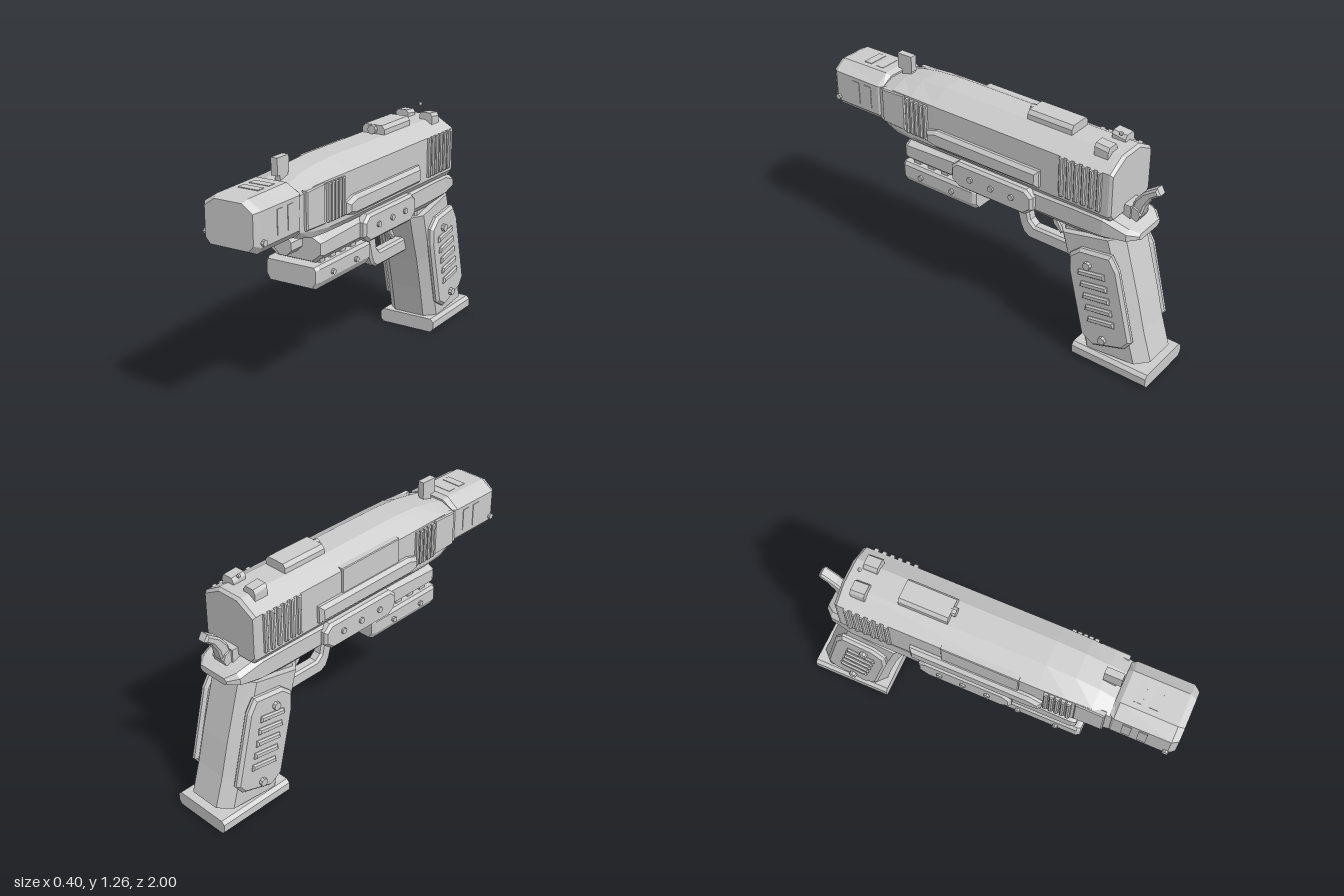
import * as THREE from 'three';

const material = new THREE.MeshStandardMaterial({ color: 0xcccccc, flatShading: true });

export function createModel() {
  const model = new THREE.Group();

  const add = (name, geometry, x = 0, y = 0, z = 0) => {
    const mesh = new THREE.Mesh(geometry, material);
    mesh.name = name;
    mesh.position.set(x, y, z);
    model.add(mesh);
    return mesh;
  };

  // Skin a list of equal-length rings of [x, y, z] points and cap both ends
  const loft = (name, rings) => {
    const n = rings[0].length, index = [], last = (rings.length - 1) * n;
    for (let r = 0; r < rings.length - 1; r++) {
      for (let i = 0; i < n; i++) {
        const a = r * n + i, b = r * n + (i + 1) % n;
        index.push(a, b, b + n, a, b + n, a + n);
      }
    }
    for (let i = 1; i < n - 1; i++) index.push(0, i + 1, i, last, last + i, last + i + 1);
    const g = new THREE.BufferGeometry();
    g.setAttribute('position', new THREE.Float32BufferAttribute(rings.flat(2), 3));
    g.setIndex(index);
    const flat = g.toNonIndexed();
    flat.computeVertexNormals();
    return add(name, flat);
  };

  // Eight-sided section across z: half widths at bottom, side and top, then four heights
  const section = (z, wb, w, wt, y0, y1, y2, y3) => [
    [wb, y0, z], [w, y1, z], [w, y2, z], [wt, y3, z],
    [-wt, y3, z], [-w, y2, z], [-w, y1, z], [-wb, y0, z],
  ];

  // Side outline of [z, y] points, extruded across x from x0 to x1
  const plate = (name, points, x0, x1, bevel = 0.01) => {
    const shape = new THREE.Shape(points.map(([z, y]) => new THREE.Vector2(-z, y)));
    const depth = x1 - x0 - 2 * bevel;
    const g = new THREE.ExtrudeGeometry(shape, {
      depth, bevelEnabled: bevel > 0, bevelThickness: bevel, bevelSize: bevel,
      bevelOffset: -bevel, bevelSegments: 1, curveSegments: 6,
    });
    g.translate(0, 0, -depth / 2);
    g.rotateY(Math.PI / 2);
    return add(name, g, (x0 + x1) / 2);
  };
  const platePair = (name, points, x0, x1, bevel) => {
    plate(name, points, x0, x1, bevel);
    plate(name, points, -x1, -x0, bevel);
  };

  const box = (name, w, h, d, x, y, z) => add(name, new THREE.BoxGeometry(w, h, d), x, y, z);

  // Matching screw heads on both sides
  const bolts = (name, r, x0, x1, y, z) => {
    for (const s of [-1, 1]) {
      const g = new THREE.CylinderGeometry(r, r, x1 - x0, 8);
      g.rotateZ(Math.PI / 2);
      add(name, g, s * (x0 + x1) / 2, y, z);
    }
  };

  // Slide with a rounded-down nose
  loft('slide', [
    section(-0.75, 0.135, 0.16, 0.06, 0.88, 0.91, 1.12, 1.175),
    section(-0.735, 0.145, 0.167, 0.07, 0.87, 0.9, 1.13, 1.188),
    section(0.3, 0.145, 0.167, 0.065, 0.87, 0.9, 1.13, 1.19),
    section(0.45, 0.145, 0.164, 0.065, 0.87, 0.9, 1.13, 1.18),
    section(0.57, 0.14, 0.157, 0.065, 0.875, 0.91, 1.125, 1.16),
    section(0.675, 0.125, 0.148, 0.07, 0.9, 0.93, 1.1, 1.13),
  ]);

  // Muzzle block
  loft('muzzle', [
    section(0.655, 0.11, 0.14, 0.075, 0.92, 0.95, 1.11, 1.145),
    section(0.68, 0.125, 0.155, 0.085, 0.91, 0.945, 1.11, 1.16),
    section(0.965, 0.125, 0.155, 0.085, 0.91, 0.945, 1.11, 1.155),
    section(0.997, 0.105, 0.132, 0.075, 0.925, 0.955, 1.1, 1.14),
  ]);
  const ring = new THREE.RingGeometry(0.06, 0.09, 12);
  add('muzzleRing', ring, 0, 1.03, 1.0);
  bolts('muzzleScrew', 0.016, 0.14, 0.167, 0.965, 0.955);
  for (const z of [0.75, 0.83]) {
    for (const s of [-1, 1]) box('muzzleVent', 0.01, 0.12, 0.045, s * 0.153, 1.03, z);
    box('muzzleTopVent', 0.11, 0.008, 0.045, 0, 1.157, z);
  }

  // Slide side details: nose panel, ribs, long bars
  platePair('nosePanel', [[0.64, 0.93], [0.64, 1.12], [0.49, 1.125], [0.49, 0.925]], 0.135, 0.169, 0.006);
  const ribs = (name, count, start, step, height, y) => {
    for (let i = 0; i < count; i++) {
      const z = start - i * step;
      platePair(name, [[z + 0.011, y - height / 2], [z + 0.011, y + height / 2],
        [z - 0.011, y + height / 2], [z - 0.011, y - height / 2]], 0.155, 0.184, 0.006);
    }
  };
  ribs('frontRib', 5, 0.465, 0.029, 0.19, 1.025);
  ribs('rearRib', 6, -0.475, 0.042, 0.21, 1.025);
  platePair('sideBar', [[0.335, 0.93], [0.335, 0.99], [0.27, 1.012], [-0.355, 1.012],
    [-0.355, 0.92], [0.27, 0.915]], 0.15, 0.2, 0.018);
  plate('ejectionCover', [[0.21, 1.0], [0.21, 1.145], [-0.19, 1.145], [-0.19, 1.0]], -0.176, -0.12, 0.004);

  // Top plate and sights
  loft('topPlate', [
    section(-0.455, 0.065, 0.065, 0.05, 1.18, 1.19, 1.215, 1.235),
    section(-0.2, 0.065, 0.065, 0.05, 1.18, 1.19, 1.215, 1.235),
  ]);
  const knob = new THREE.CylinderGeometry(0.024, 0.024, 0.03, 8);
  knob.rotateX(Math.PI / 2);
  add('topPlateKnob', knob, 0, 1.212, -0.195);
  box('frontSight', 0.036, 0.085, 0.09, 0, 1.213, 0.61);
  box('frontSightFoot', 0.03, 0.06, 0.06, 0, 1.145, 0.6);
  for (const s of [-1, 1]) {
    loft('rearSight', [
      section(-0.685, 0.038, 0.038, 0.026, 1.15, 1.16, 1.2, 1.22),
      section(-0.61, 0.038, 0.038, 0.026, 1.15, 1.16, 1.21, 1.226),
    ]).position.x = s * 0.072;
  }
  add('rearSightBead', new THREE.SphereGeometry(0.011, 8, 6), 0, 1.25, -0.68);

  // Frame with a tapering tail
  loft('frame', [
    section(-0.865, 0.07, 0.09, 0.075, 0.78, 0.79, 0.805, 0.815),
    section(-0.82, 0.1, 0.135, 0.11, 0.77, 0.785, 0.82, 0.84),
    section(-0.7, 0.12, 0.155, 0.13, 0.745, 0.775, 0.86, 0.88),
    section(-0.55, 0.12, 0.155, 0.14, 0.73, 0.77, 0.86, 0.88),
    section(0.1, 0.11, 0.16, 0.13, 0.725, 0.77, 0.85, 0.88),
    section(0.49, 0.11, 0.16, 0.12, 0.725, 0.77, 0.835, 0.86),
    section(0.51, 0.1, 0.15, 0.11, 0.735, 0.775, 0.83, 0.85),
  ]);
  const rod = new THREE.CylinderGeometry(0.052, 0.052, 0.12, 8);
  rod.rotateY(Math.PI / 8).rotateX(Math.PI / 2);
  add('guideRod', rod, 0, 0.822, 0.54);
  platePair('framePlate', [[0.18, 0.77], [0.18, 0.845], [0.14, 0.88], [-0.28, 0.88], [-0.32, 0.845],
    [-0.32, 0.775], [-0.27, 0.735], [0.13, 0.735]], 0.13, 0.19, 0.014);
  for (const z of [0.055, -0.075, -0.2]) bolts('framePlateScrew', 0.016, 0.17, 0.2, 0.81, z);

  // Accessory module under the frame
  loft('underModule', [
    section(0.055, 0.12, 0.14, 0.13, 0.61, 0.64, 0.7, 0.715),
    section(0.075, 0.13, 0.152, 0.14, 0.603, 0.64, 0.705, 0.722),
    section(0.52, 0.13, 0.152, 0.14, 0.603, 0.64, 0.705, 0.722),
    section(0.538, 0.12, 0.14, 0.13, 0.61, 0.64, 0.7, 0.715),
  ]);
  for (const z of [0.41, 0.206]) bolts('underModuleScrew', 0.014, 0.14, 0.165, 0.665, z);
  for (let i = 0; i < 4; i++) box('railTooth', 0.25, 0.04, 0.04, 0, 0.728, 0.455 - i * 0.09);
  box('moduleClip', 0.16, 0.05, 0.03, 0, 0.715, 0.05);

  // Trigger guard and trigger
  plate('triggerGuard', [[-0.085, 0.735], [-0.1, 0.66], [-0.135, 0.54], [-0.155, 0.5], [-0.195, 0.477],
    [-0.52, 0.477], [-0.52, 0.56], [-0.225, 0.558], [-0.195, 0.585], [-0.165, 0.735]], -0.032, 0.032, 0.012);
  plate('trigger', [[-0.335, 0.74], [-0.315, 0.67], [-0.33, 0.62], [-0.375, 0.575], [-0.395, 0.592],
    [-0.365, 0.645], [-0.365, 0.675], [-0.395, 0.74]], -0.022, 0.022, 0.008);

  // Raked grip, built from sections: front z, back z, front y, back y
  const gripRing = ([zf, zb, yf, yb]) => {
    const at = (x, z) => [x, yf + (yb - yf) * (zf - z) / (zf - zb), z];
    const right = [[0.09, zf], [0.145, zf - 0.05], [0.145, zb + 0.06], [0.085, zb]];
    return [...right.map(([x, z]) => at(x, z)), ...right.reverse().map(([x, z]) => at(-x, z))];
  };
  loft('grip', [
    [-0.595, -0.975, 0.07, 0.105], [-0.555, -0.925, 0.25, 0.27], [-0.51, -0.88, 0.43, 0.45],
    [-0.465, -0.835, 0.57, 0.61], [-0.43, -0.79, 0.69, 0.77],
  ].map(gripRing));
  plate('gripNeck', [[-0.46, 0.66], [-0.46, 0.76], [-0.76, 0.78], [-0.76, 0.72]], -0.11, 0.11, 0.01);

  // Grip side panels with ribs and screws
  platePair('gripPanel', [[-0.53, 0.52], [-0.53, 0.61], [-0.59, 0.665], [-0.765, 0.69], [-0.81, 0.62],
    [-0.905, 0.235], [-0.865, 0.18], [-0.69, 0.12], [-0.615, 0.165]], 0.13, 0.174, 0.015);
  for (let i = 0; i < 5; i++) {
    const z = -0.59 - i * 0.017, y = 0.52 - i * 0.064;
    platePair('gripRib', [[z, y], [z - 0.005, y + 0.034], [z - 0.15, y + 0.06], [z - 0.155, y + 0.026]],
      0.16, 0.186, 0.008);
  }
  bolts('gripScrew', 0.021, 0.16, 0.192, 0.595, -0.645);
  bolts('gripScrew', 0.021, 0.16, 0.192, 0.19, -0.75);

  // Base under the grip
  loft('gripBase', [
    section(-1, 0.15, 0.168, 0.15, 0, 0.018, 0.06, 0.077),
    section(-0.567, 0.15, 0.168, 0.15, 0, 0.018, 0.06, 0.077),
  ]);

  // Hammer
  const pivot = new THREE.CylinderGeometry(0.04, 0.04, 0.08, 8);
  pivot.rotateZ(Math.PI / 2);
  add('hammerPivot', pivot, 0, 0.875, -0.79);
  plate('hammer', [[-0.77, 0.89], [-0.79, 0.95], [-0.83, 1.0], [-0.9, 1.05], [-0.92, 1.015],
    [-0.875, 0.98], [-0.845, 0.93], [-0.825, 0.86]], -0.03, 0.03, 0.01);
  box('hammerMount', 0.1, 0.11, 0.06, 0, 0.865, -0.755);

  return model;
}
